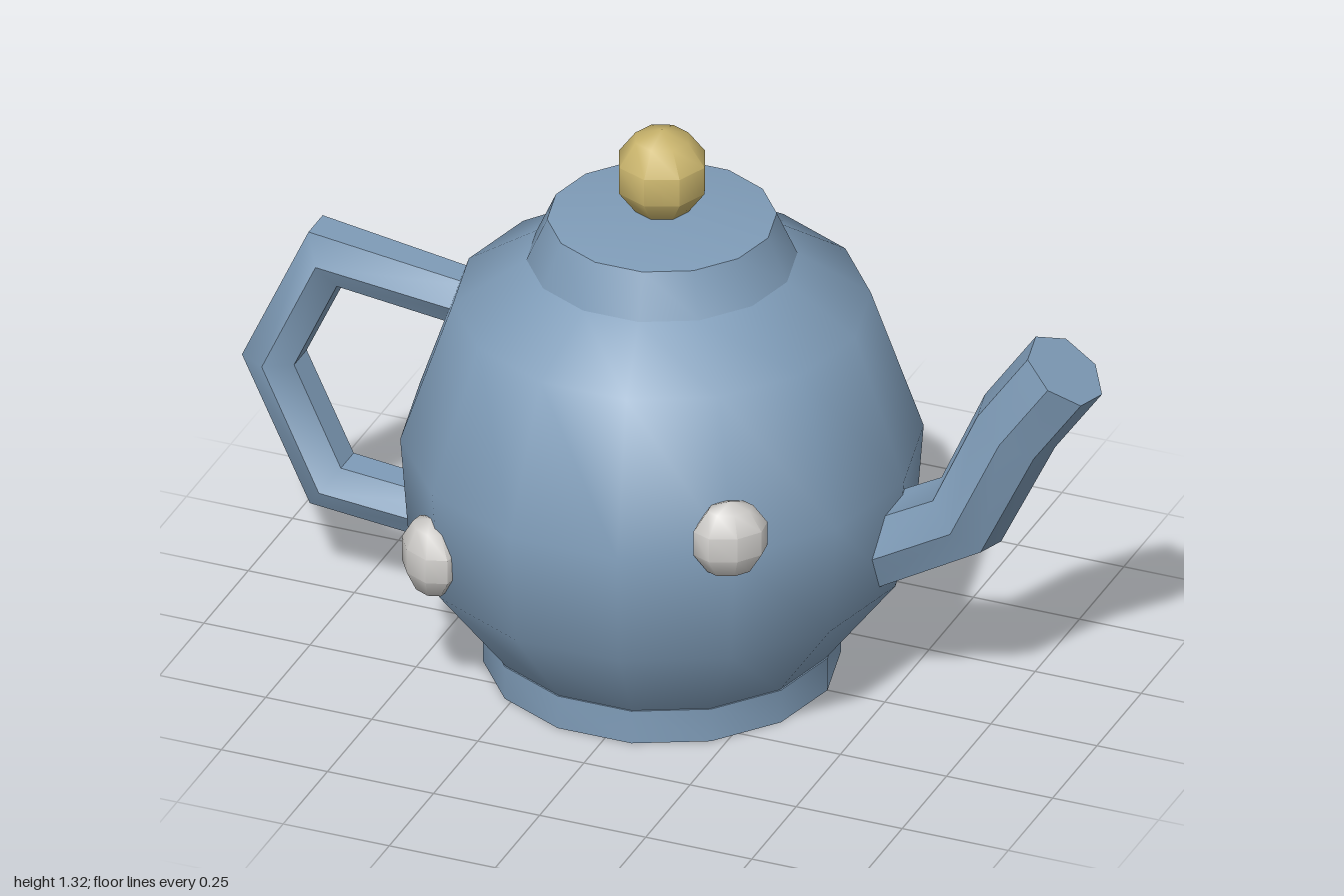
import * as THREE from 'three';
import { toCreasedNormals } from 'three/addons/utils/BufferGeometryUtils.js';

const CREASE = 0.8;
const CENTRE_X = -0.025; // axis of the pot

function material(name, color) {
  const m = new THREE.MeshStandardMaterial({ color });
  m.name = name;
  return m;
}

// Turned shape; profile runs bottom to top as [radius, height]
function turned(profile) {
  const points = profile.map(([r, y]) => new THREE.Vector2(r, y));
  return new THREE.LatheGeometry(points, 14, Math.PI / 2);
}

// Faceted closed tube through rings [x, y, radius] in the xy plane
function bentTube(rings, sides) {
  const centres = rings.map(([x, y]) => new THREE.Vector2(x, y));
  const last = rings.length - 1;
  const pos = [];
  const index = [];
  centres.forEach((c, i) => {
    const t = new THREE.Vector2();
    if (i > 0) t.add(c.clone().sub(centres[i - 1]).normalize());
    if (i < last) t.add(centres[i + 1].clone().sub(c).normalize());
    t.normalize();
    const r = rings[i][2];
    for (let j = 0; j < sides; j++) {
      const a = Math.PI / 2 + (j / sides) * Math.PI * 2;
      const n = Math.cos(a) * r;
      pos.push(c.x - t.y * n, c.y + t.x * n, Math.sin(a) * r);
    }
  });
  for (let i = 0; i < last; i++) {
    for (let j = 0; j < sides; j++) {
      const k = (j + 1) % sides;
      const a = i * sides + j, b = i * sides + k;
      index.push(a, b, a + sides, b, b + sides, a + sides);
    }
  }
  // end caps
  const end = last * sides;
  for (let j = 1; j < sides - 1; j++) {
    index.push(0, j + 1, j, end, end + j, end + j + 1);
  }
  const g = new THREE.BufferGeometry();
  g.setAttribute('position', new THREE.Float32BufferAttribute(pos, 3));
  g.setIndex(index);
  return g;
}

export function createModel() {
  const model = new THREE.Group();
  model.name = 'teapot';
  const blue = material('blue glaze', 0x7f9cb8);
  const gold = material('gold', 0xc9b46c);
  const pale = material('pale grey', 0xcfcdca);

  function add(name, geometry, mat, x = 0, y = 0, z = 0) {
    const mesh = new THREE.Mesh(toCreasedNormals(geometry, CREASE), mat);
    mesh.name = name;
    mesh.position.set(x, y, z);
    model.add(mesh);
    return mesh;
  }

  // Foot ring with a recessed floor
  add('foot', turned([[0, 0.045], [0.31, 0.045], [0.31, 0], [0.39, 0], [0.39, 0.08], [0.3, 0.08]]), blue, CENTRE_X);

  // Rounded pot
  add('body', turned([[0.385, 0.078], [0.55, 0.295], [0.57, 0.56], [0.455, 0.895], [0.295, 1.0]]), blue, CENTRE_X);

  // Lid with a shallow cone on top
  add('lid', turned([[0.295, 1.0], [0.25, 1.1], [0, 1.132]]), blue, CENTRE_X);

  add('lidKnob', new THREE.SphereGeometry(0.106, 8, 5), gold, CENTRE_X, 1.21);

  // Spout on the left side
  add('spout', bentTube([
    [0.43, 0.363, 0.098], [0.695, 0.513, 0.098], [0.81, 0.76, 0.098], [0.925, 0.923, 0.098],
  ], 7), blue);

  // Handle on the right side
  add('handle', bentTube([
    [-0.45, 0.793, 0.064], [-0.808, 0.842, 0.08], [-0.9385, 0.56, 0.071],
    [-0.803, 0.275, 0.073], [-0.47, 0.241, 0.065],
  ], 6), blue);

  // Studs around the belly: offset from the axis in x and z, and height
  const studs = [
    [0.345, 0.6, 0.44], [-0.37, 0.39, 0.42], [-0.405, 0.625, -0.385], [0.305, 0.425, -0.47],
  ];
  for (const [x, y, z] of studs) {
    const stud = add('stud', new THREE.SphereGeometry(1, 8, 5), pale, CENTRE_X + x, y, z);
    stud.scale.set(0.088, 0.093, 0.06);
    stud.rotation.y = Math.atan2(x, z);
  }

  return model;
}
